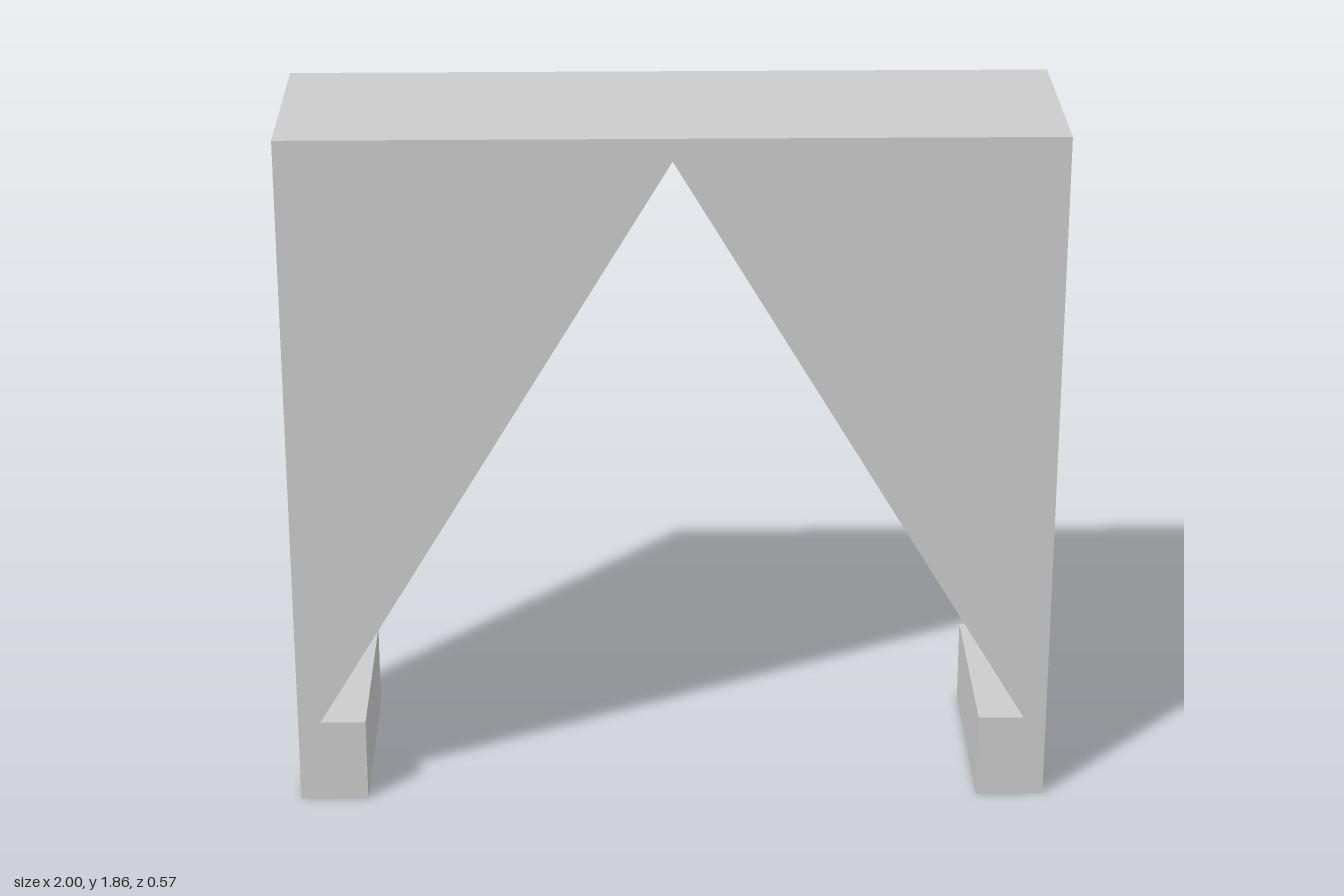
import * as THREE from 'three';

const DEPTH = 0.57;

export function createModel() {
  const group = new THREE.Group();
  const material = new THREE.MeshStandardMaterial({ color: 0xcccccc, flatShading: true });

  // Right half of the outline, from the foot up to the notch apex
  const half = [[1, 1.86], [1, 0], [0.82, 0], [0.82, 0.23], [0.94, 0.23]];
  const mirrored = half.map(([x, y]) => [-x, y]).reverse();
  const outline = [...half, [0, 1.8], ...mirrored];

  // Block with a triangular opening and two inward feet
  const shape = new THREE.Shape(outline.map(([x, y]) => new THREE.Vector2(x, y)));
  const geometry = new THREE.ExtrudeGeometry(shape, { depth: DEPTH, bevelEnabled: false });
  geometry.translate(0, 0, -DEPTH / 2);

  const frame = new THREE.Mesh(geometry, material);
  frame.name = 'notchedFrame';
  group.add(frame);
  return group;
}
